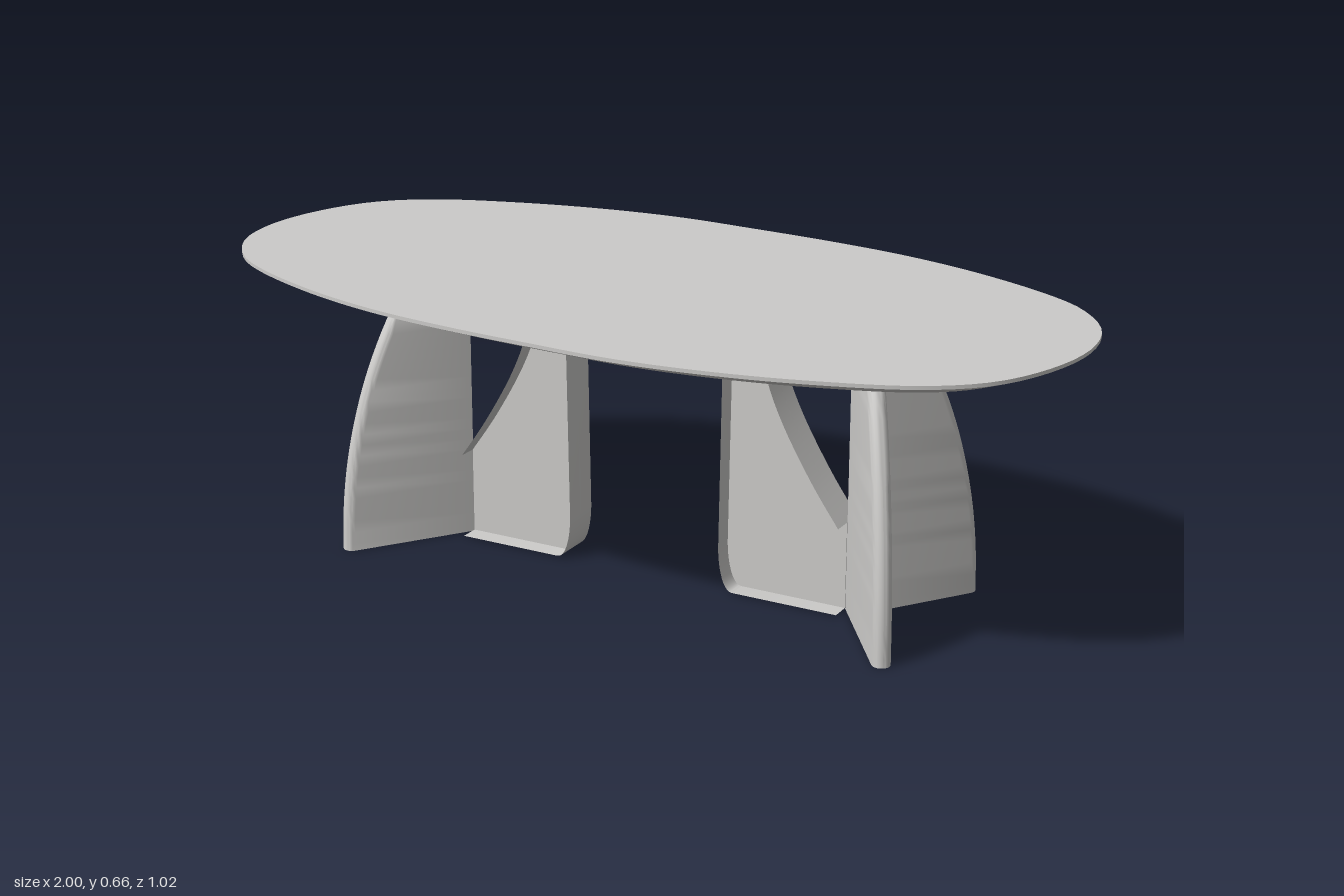
import * as THREE from 'three';
import { toCreasedNormals } from 'three/addons/utils/BufferGeometryUtils.js';

const TOP_UNDERSIDE = 0.625;

// Closed solid through convex rings, bottom to top, each counter-clockwise from above.
function loft(rings, crease) {
  const pos = [];
  const tri = (...pts) => pts.forEach(p => pos.push(p.x, p.y, p.z));
  const n = rings[0].length;
  const middle = ring => ring.reduce((s, p) => s.add(p), new THREE.Vector3()).divideScalar(n);
  const low = rings[0], high = rings[rings.length - 1];
  const lowMid = middle(low), highMid = middle(high);
  for (let i = 0; i < n; i++) {
    const j = (i + 1) % n;
    for (let k = 0; k < rings.length - 1; k++) {
      const a = rings[k], b = rings[k + 1];
      tri(a[i], a[j], b[i]);
      tri(a[j], b[j], b[i]);
    }
    tri(lowMid, low[j], low[i]);
    tri(highMid, high[i], high[j]);
  }
  const g = new THREE.BufferGeometry();
  g.setAttribute('position', new THREE.Float32BufferAttribute(pos, 3));
  return toCreasedNormals(g, crease);
}

// Organic oval top, identical after a half turn, with a bevelled underside.
function tabletopGeometry() {
  const half = [[1, 0], [0.973, -0.14], [0.89, -0.255], [0.8, -0.318], [0.6, -0.405], [0.4, -0.46],
    [0.2, -0.488], [0, -0.502], [-0.2, -0.51], [-0.4, -0.49], [-0.6, -0.445], [-0.8, -0.37],
    [-0.91, -0.28], [-0.975, -0.15]];
  const outline = [...half, ...half.map(([x, z]) => [-x, -z])];
  const curve = new THREE.CatmullRomCurve3(outline.map(([x, z]) => new THREE.Vector3(x, 0, z)), true);
  const ring = (y, inset) => Array.from({ length: 128 }, (_, i) => {
    const p = curve.getPointAt(i / 128), t = curve.getTangentAt(i / 128);
    return new THREE.Vector3(p.x + t.z * inset, y, p.z - t.x * inset);
  });
  return loft([ring(TOP_UNDERSIDE, 0.077), ring(0.656, 0), ring(0.664, 0)], 0.3);
}

// Upright fin that narrows upward and has a fully rounded outer edge.
function finGeometry(shift) {
  const t = 0.04, r = t / 2;
  const profile = new THREE.SplineCurve([[0.312, 0], [0.308, 0.1], [0.296, 0.2], [0.275, 0.3], [0.245, 0.4],
    [0.204, 0.5], [0.152, 0.6], [0.138, TOP_UNDERSIDE]].map(p => new THREE.Vector2(...p)));
  const rings = profile.getPoints(28).map(({ x: reach, y }) => {
    const ring = [new THREE.Vector3(0, y, t)];
    for (let i = 0; i <= 10; i++) {
      const a = Math.PI * (0.5 - i / 10);
      ring.push(new THREE.Vector3(reach - r + r * Math.cos(a), y, r + r * Math.sin(a)));
    }
    ring.push(new THREE.Vector3(0, y, 0));
    return ring;
  });
  return loft(rings, 0.6).translate(0, 0, shift * t);
}

// Thin strip following a side-on path, spread to both sides of the web.
function flangeGeometry(points, halfWidth) {
  const pos = [], index = [];
  points.forEach((p, i) => {
    pos.push(p.x, p.y, halfWidth, p.x, p.y, -halfWidth);
    if (i) index.push(2 * i - 2, 2 * i - 1, 2 * i, 2 * i - 1, 2 * i + 1, 2 * i);
  });
  const g = new THREE.BufferGeometry();
  g.setAttribute('position', new THREE.Float32BufferAttribute(pos, 3));
  g.setIndex(index);
  return toCreasedNormals(g, 0.5);
}

export function createModel() {
  const stone = new THREE.MeshStandardMaterial({ color: 0xcccbc9, side: THREE.DoubleSide });
  stone.name = 'warm grey';
  const model = new THREE.Group();
  model.name = 'table';
  const add = (parent, geometry, name) => {
    const mesh = new THREE.Mesh(geometry, stone);
    mesh.name = name;
    parent.add(mesh);
    return mesh;
  };

  add(model, tabletopGeometry(), 'tabletop');

  // Inner web: rounded foot, tall end and swooping cut-out
  const v = (x, y) => new THREE.Vector2(x, y);
  const foot = new THREE.Path();
  foot.moveTo(0, 0.003);
  foot.lineTo(-0.25, 0.003);
  foot.bezierCurveTo(-0.272, 0.003, -0.284, 0.05, -0.285, 0.1);
  foot.lineTo(-0.277, TOP_UNDERSIDE);
  const footPoints = foot.getPoints(10);
  const swoop = new THREE.SplineCurve([v(-0.176, TOP_UNDERSIDE), v(-0.179, 0.55), v(-0.168, 0.49),
    v(-0.128, 0.4), v(-0.063, 0.29), v(0, 0.2)]).getPoints(24);
  const webShape = new THREE.Shape([...footPoints, ...swoop]);

  // Each leg: two splayed outer fins and one flanged inner web
  for (const side of [1, -1]) {
    const leg = new THREE.Group();
    leg.name = side > 0 ? 'leftLeg' : 'rightLeg';
    leg.position.x = 0.012 + side * 0.472;
    leg.rotation.y = side > 0 ? 0 : Math.PI;
    model.add(leg);
    for (const s of [1, -1]) {
      const fin = add(leg, finGeometry(s > 0 ? 0 : -1), s > 0 ? 'backFin' : 'frontFin');
      fin.rotation.y = s * 0.95;
    }
    const web = new THREE.ExtrudeGeometry(webShape, { depth: 0.004, bevelEnabled: false });
    add(leg, web.translate(0, 0, -0.002), 'innerWeb');
    add(leg, flangeGeometry(footPoints, 0.047), 'footFlange');
    add(leg, flangeGeometry(swoop, 0.047), 'cutoutFlange');
  }
  return model;
}
